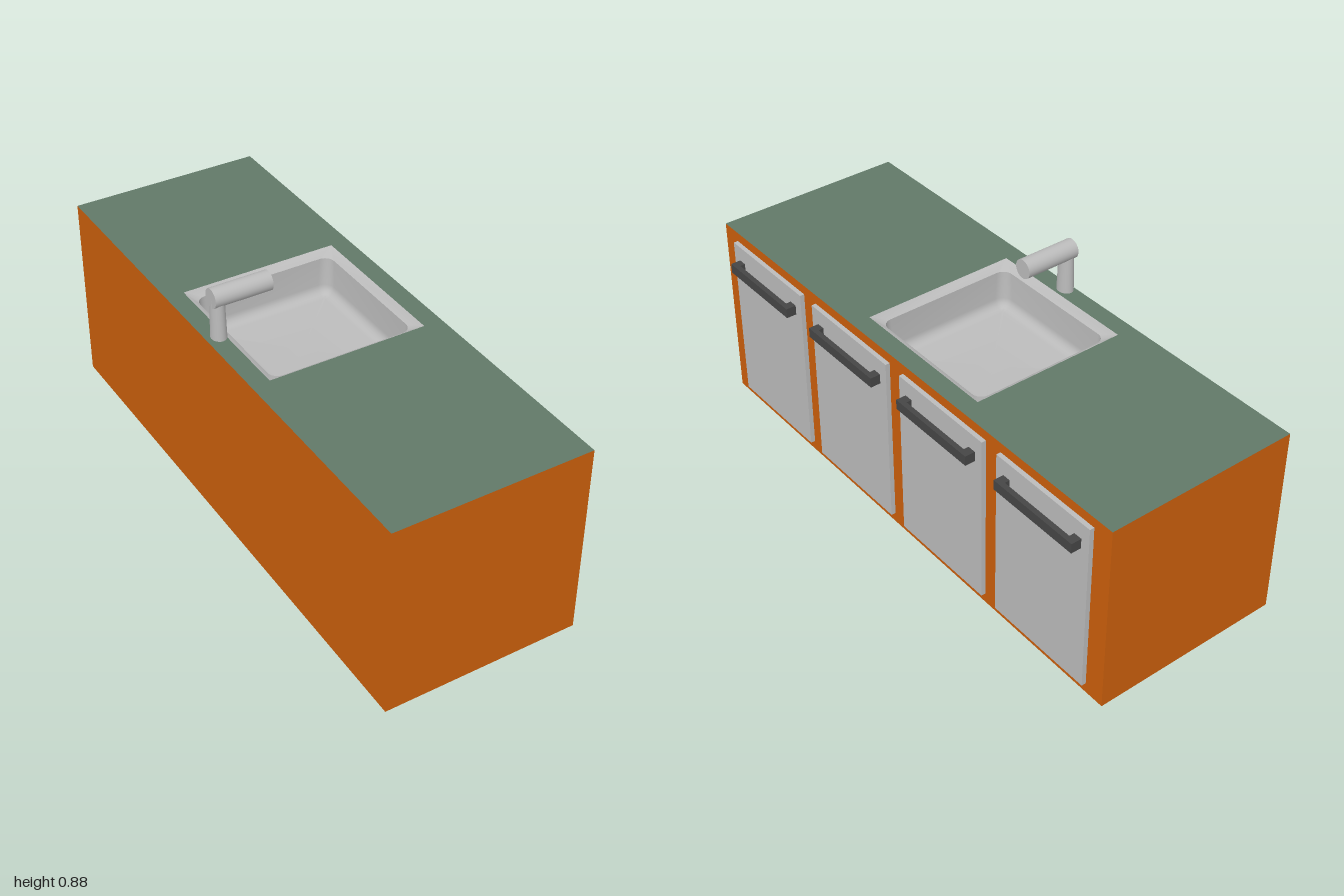
import * as THREE from 'three';
import { toCreasedNormals } from 'three/addons/utils/BufferGeometryUtils.js';

const mat = (name, color) => {
  const m = new THREE.MeshStandardMaterial({ color });
  m.name = name;
  return m;
};

// Points of a rounded square, running round its centre
function roundedSquare(half, radius, steps = 6) {
  const pts = [];
  for (let c = 0; c < 4; c++) {
    const mid = Math.PI / 4 + c * Math.PI / 2;
    const cx = Math.sign(Math.cos(mid)) * (half - radius);
    const cz = Math.sign(Math.sin(mid)) * (half - radius);
    for (let i = 0; i <= steps; i++) {
      const a = (c + i / steps) * Math.PI / 2;
      pts.push([cx + radius * Math.cos(a), cz + radius * Math.sin(a)]);
    }
  }
  return pts;
}

// Basin skin: rounded squares [half, radius, y] joined from rim to floor
function basinGeometry(loops) {
  const pos = [], idx = [];
  let n = 0;
  for (const [half, radius, y] of loops) {
    const ring = roundedSquare(half, radius);
    n = ring.length;
    for (const [x, z] of ring) pos.push(x, y, z);
  }
  for (let r = 0; r < loops.length - 1; r++) {
    for (let i = 0; i < n; i++) {
      const a = r * n + i, b = r * n + (i + 1) % n;
      idx.push(a, b, a + n, b, b + n, a + n);
    }
  }
  const last = (loops.length - 1) * n;
  const centre = pos.length / 3;
  pos.push(0, loops[loops.length - 1][2], 0);
  for (let i = 0; i < n; i++) idx.push(last + (i + 1) % n, centre, last + i);
  const g = new THREE.BufferGeometry();
  g.setAttribute('position', new THREE.Float32BufferAttribute(pos, 3));
  g.setIndex(idx);
  return toCreasedNormals(g, 0.6);
}

export function createModel() {
  const orange = mat('orange cabinet', 0xcb5f0c);
  const green = mat('green worktop', 0x617868);
  const steel = mat('light steel', 0xbbbbbb);
  const dark = mat('dark handle', 0x464646);
  steel.side = THREE.DoubleSide;

  const model = new THREE.Group();
  model.name = 'kitchenCounter';
  const add = (parent, name, geometry, material, x = 0, y = 0, z = 0) => {
    const mesh = new THREE.Mesh(geometry, material);
    mesh.name = name;
    mesh.position.set(x, y, z);
    parent.add(mesh);
    return mesh;
  };

  const left = -0.37, right = 0.318, top = 0.69;
  const sinkX = -0.027, sinkZ = -0.044, sinkHalf = 0.279;

  // Cabinet box, open at the top where the worktop closes it
  const box = new THREE.BoxGeometry(right - left, top, 2);
  const faces = Array.from(box.index.array);
  faces.splice(12, 6);
  box.setIndex(faces);
  box.clearGroups();
  add(model, 'cabinet', box, orange, (left + right) / 2, top / 2, 0);

  // Worktop with a square opening for the sink
  const sheet = new THREE.Shape([
    [left, -1], [right, -1], [right, 1], [left, 1],
  ].map(([x, y]) => new THREE.Vector2(x, y)));
  sheet.holes.push(new THREE.Path([[-1, -1], [-1, 1], [1, 1], [1, -1]].map(
    ([x, y]) => new THREE.Vector2(sinkX + x * sinkHalf, -sinkZ + y * sinkHalf))));
  const worktop = new THREE.ShapeGeometry(sheet).rotateX(-Math.PI / 2);
  add(model, 'worktop', worktop, green, 0, top, 0);

  // Sink: sloping rim, straight walls, rounded foot
  const depth = 0.155, foot = 0.035, wall = 0.252;
  const loops = [[sinkHalf, 0.001, 0], [wall, 0.035, -0.02]];
  for (let i = 0; i <= 6; i++) {
    const a = i / 6 * Math.PI / 2;
    const inset = foot * (1 - Math.cos(a));
    loops.push([wall - 0.003 - inset, 0.04 - inset, foot - depth - foot * Math.sin(a)]);
  }
  add(model, 'sinkBasin', basinGeometry(loops), steel, sinkX, top, sinkZ);

  // Tap: tapered oval post under a round spout
  const tap = new THREE.Group();
  tap.name = 'tap';
  tap.position.z = -0.035;
  model.add(tap);
  const post = new THREE.CylinderGeometry(0.022, 0.026, 0.15, 32);
  add(tap, 'tapPost', post, steel, -0.333, 0.775, 0).scale.z = 1.2;
  const spout = new THREE.CylinderGeometry(0.0335, 0.0335, 0.202, 32).rotateZ(Math.PI / 2);
  add(tap, 'tapSpout', spout, steel, -0.254, 0.848, 0);

  // Four doors, each with a bar handle on two posts
  for (const z of [-0.721, -0.241, 0.241, 0.721]) {
    const door = new THREE.Group();
    door.name = 'door';
    door.position.z = z;
    model.add(door);
    add(door, 'doorPanel', new THREE.BoxGeometry(0.016, 0.619, 0.412), steel, 0.326, 0.346, 0);
    add(door, 'handleBar', new THREE.BoxGeometry(0.018, 0.035, 0.346), dark, 0.361, 0.582, 0);
    for (const s of [-1, 1]) {
      add(door, 'handlePost', new THREE.BoxGeometry(0.018, 0.035, 0.03), dark, 0.343, 0.582, s * 0.158);
    }
  }
  return model;
}
